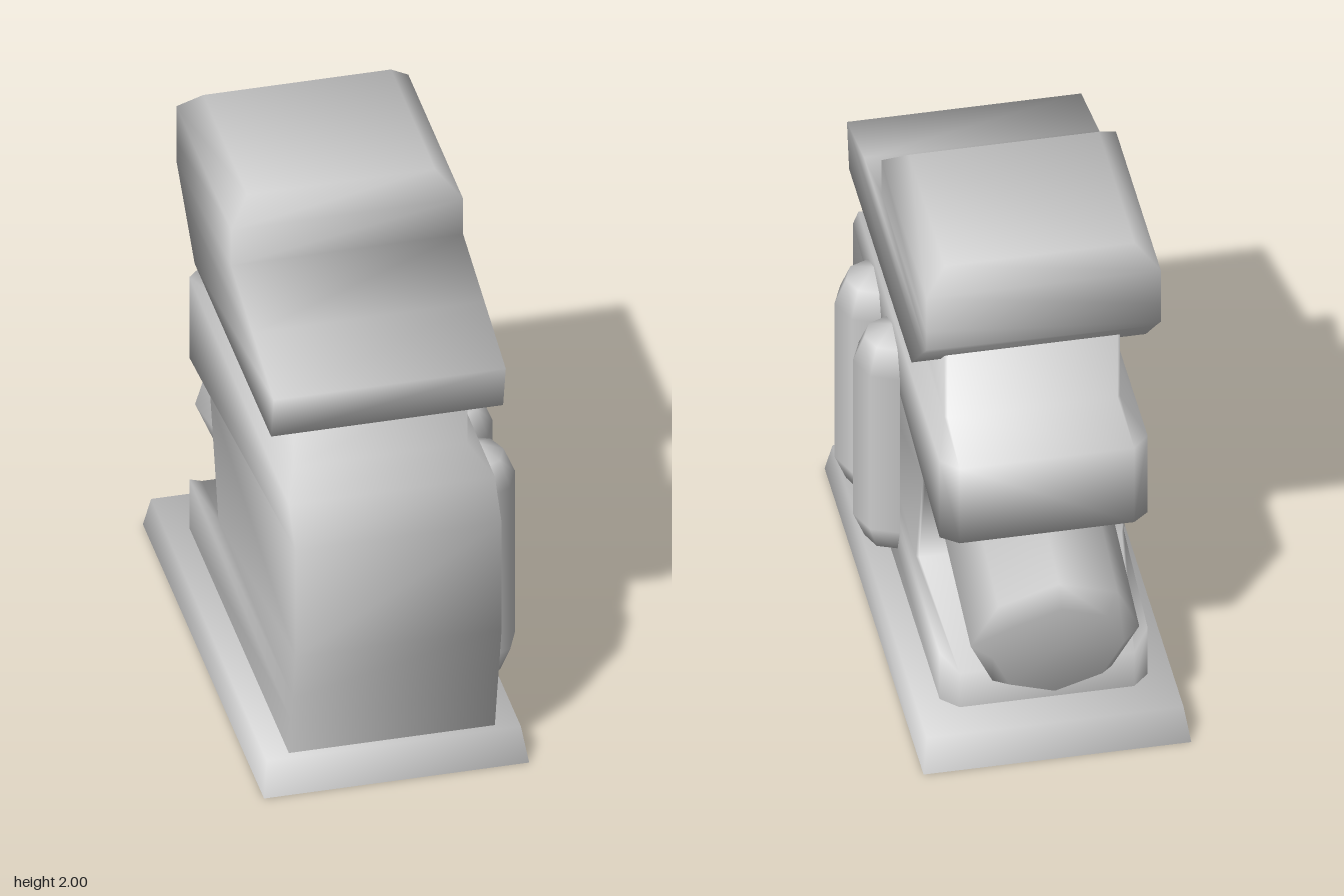
import * as THREE from 'three';

const grey = new THREE.MeshStandardMaterial({ color: 0xcccccc });
const greyOpen = new THREE.MeshStandardMaterial({ color: 0xcccccc, side: THREE.DoubleSide });

// Smooth normals weighted by corner angle, so large faces do not dominate
function smoothByAngle(g) {
  const p = g.attributes.position, ids = g.index.array;
  const sums = Array.from({ length: p.count }, () => new THREE.Vector3());
  const at = (i) => new THREE.Vector3().fromBufferAttribute(p, i);
  for (let t = 0; t < ids.length; t += 3) {
    for (let k = 0; k < 3; k++) {
      const [i, j, l] = [0, 1, 2].map((s) => ids[t + (k + s) % 3]);
      const u = at(j).sub(at(i)), v = at(l).sub(at(i));
      const normal = u.clone().cross(v).normalize();
      sums[i].addScaledVector(normal, u.angleTo(v));
    }
  }
  const normals = sums.flatMap((n) => n.normalize().toArray());
  g.setAttribute('normal', new THREE.Float32BufferAttribute(normals, 3));
  return g;
}

// Smooth solid lofted through rings, each given as
// [half width, front z, front y, rear z, rear y, rear corner chamfer, rise of that chamfer]
function loft(rings, closedBelow = true) {
  const pos = [], index = [];
  let n = 4;
  for (const [w, fz, fy, rz, ry, c, rise = 0] of rings) {
    const half = c
      ? [[w, fy, fz], [w, ry + rise, rz + c], [w - c, ry, rz]]
      : [[w, fy, fz], [w, ry, rz]];
    n = half.length * 2;
    const mirrored = half.map(([x, y, z]) => [-x, y, z]).reverse();
    pos.push(...half.flat(), ...mirrored.flat());
  }
  for (let i = 0; i < rings.length - 1; i++) {
    for (let j = 0; j < n; j++) {
      const a = i * n + j, b = i * n + (j + 1) % n, c = b + n, d = a + n;
      // Mirror the diagonal between the two sides
      if (j < n / 2) index.push(a, b, d, b, c, d);
      else index.push(a, b, c, a, c, d);
    }
  }
  const top = (rings.length - 1) * n;
  for (let j = 1; j < n - 1; j++) {
    if (closedBelow) index.push(0, j + 1, j);
    index.push(top, top + j, top + j + 1);
  }
  const g = new THREE.BufferGeometry();
  g.setAttribute('position', new THREE.Float32BufferAttribute(pos, 3));
  g.setIndex(index);
  return smoothByAngle(g);
}

export function createModel() {
  const model = new THREE.Group();
  const add = (name, geometry, x, y, z, material = grey) => {
    const mesh = new THREE.Mesh(geometry, material);
    mesh.name = name;
    mesh.position.set(x, y, z);
    model.add(mesh);
    return mesh;
  };
  const midX = -0.018;

  // Tapered plinth, hollow underneath
  add('base', loft([
    [0.48, 0.92, 0, -0.87, 0],
    [0.46, 0.88, 0.13, -0.83, 0.13],
  ], false), midX, 0, 0, greyOpen);

  // Housing with a notch in its back, narrowing to a neck
  add('body', loft([
    [0.373, 0.85, 0.13, -0.68, 0.13, 0.06],
    [0.373, 0.883, 0.29, -0.68, 0.28, 0.06, 0.055],
    [0.373, 0.908, 0.40, -0.20, 0.44, 0.01],
    [0.373, 0.95, 0.60, -0.32, 0.885, 0.01],
    [0.373, 0.95, 1.05, -0.68, 0.86, 0.06, -0.01],
    [0.373, 0.85, 1.18, -0.68, 1.19, 0.06],
    [0.315, 0.68, 1.22, -0.42, 1.22, 0.01],
    [0.315, 0.68, 1.48, -0.42, 1.497, 0.01],
  ], false), midX, 0, 0);

  // Overhanging top with a sloping front
  add('head', loft([
    [0.42, 0.78, 1.43, -0.35, 1.43],
    [0.42, 0.82, 1.61, -0.53, 1.605],
    [0.42, 0.505, 1.69, -0.62, 1.69],
    [0.42, 0.19, 1.77, -0.62, 1.77],
    [0.42, 0.19, 1.92, -0.62, 1.92],
    [0.34, 0.10, 2.0, -0.55, 2.0],
  ]), midX, 0, 0);

  // Eight-sided drum leaning down out of the notch
  const profile = [[0, 0], [0.302, 0], [0.302, 0.615], [0.235, 0.677], [0, 0.677]]
    .map(([r, y]) => new THREE.Vector2(r, y));
  const drum = add('rearDrum', new THREE.LatheGeometry(profile, 8), midX, 0.668, -0.231);
  drum.rotation.x = -THREE.MathUtils.degToRad(105);

  // Two upright tanks on the left side
  for (const [name, z] of [['frontTank', 0.573], ['rearTank', 0.24]]) {
    add(name, new THREE.CapsuleGeometry(0.143, 0.68, 2, 8), 0.353, 0.663, z);
  }

  return model;
}
